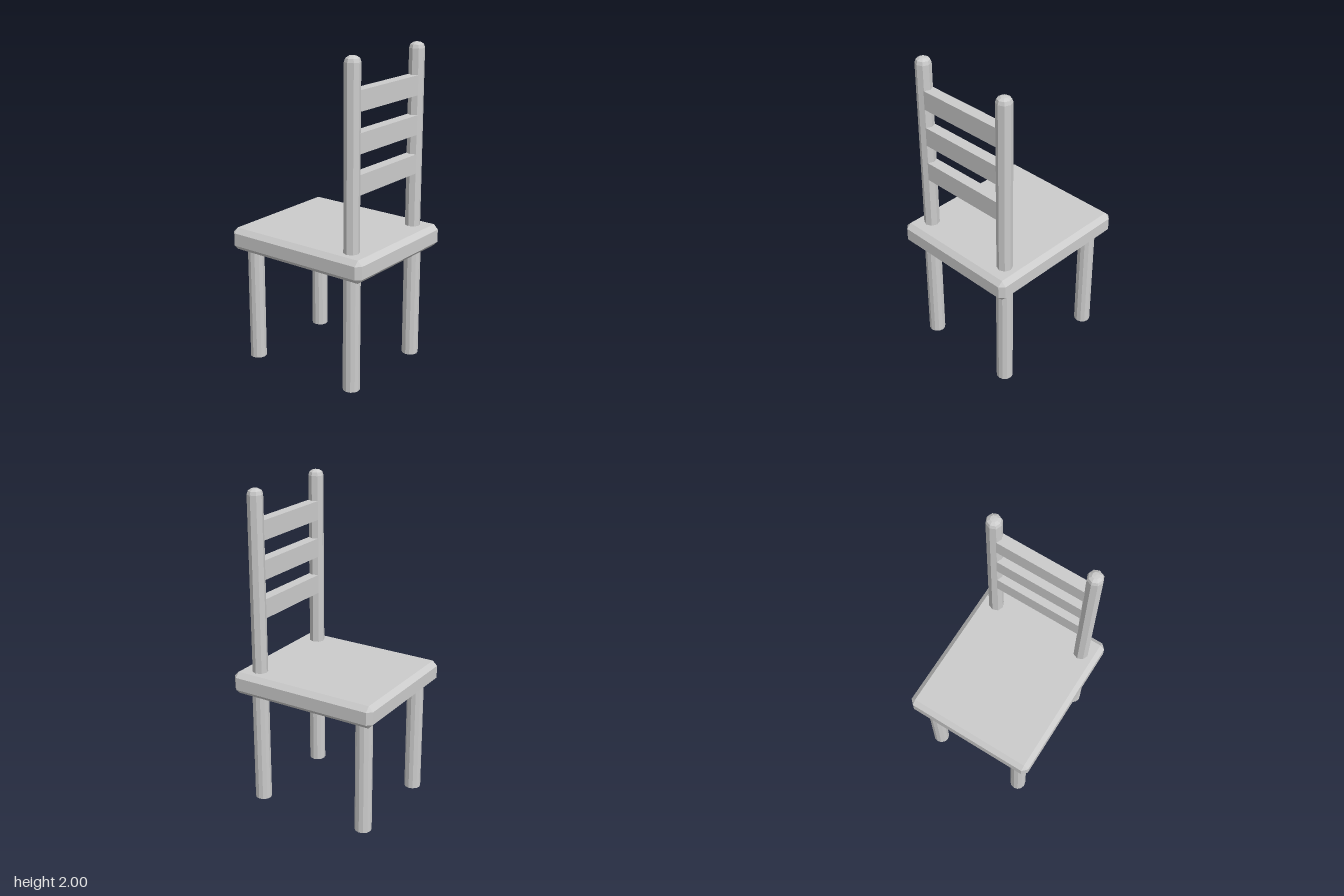
import * as THREE from 'three';
import { ConvexGeometry } from 'three/addons/geometries/ConvexGeometry.js';

const material = new THREE.MeshStandardMaterial({ color: 0xcccccc, flatShading: true });

// Box with every edge cut at 45 degrees
function chamferedBox(w, h, d, c) {
  const points = [];
  for (const x of [-w / 2, w / 2]) for (const y of [-h / 2, h / 2]) for (const z of [-d / 2, d / 2]) {
    const ix = x - Math.sign(x) * c, iy = y - Math.sign(y) * c, iz = z - Math.sign(z) * c;
    points.push(
      new THREE.Vector3(x, iy, iz),
      new THREE.Vector3(ix, y, iz),
      new THREE.Vector3(ix, iy, z)
    );
  }
  return new ConvexGeometry(points);
}

export function createModel() {
  const chair = new THREE.Group();
  chair.name = 'chair';
  const add = (name, geometry, x, y, z) => {
    const mesh = new THREE.Mesh(geometry, material);
    mesh.name = name;
    mesh.position.set(x, y, z);
    chair.add(mesh);
  };

  const sideX = 0.315, backZ = 0.355, legTop = 0.76;

  // Seat
  add('seat', chamferedBox(0.852, 0.14, 0.98, 0.03), 0, 0.8, 0);

  // Legs and octagonal back posts with domed tips
  const legGeometry = new THREE.CylinderGeometry(0.052, 0.052, legTop, 12);
  const postProfile = [[0, 0.8], [0.048, 0.8], [0.048, 1.965], [0.041, 1.986], [0.022, 1.998], [0, 2]]
    .map(([r, y]) => new THREE.Vector2(r, y));
  const postGeometry = new THREE.LatheGeometry(postProfile, 8);
  for (const [side, sign] of [['left', 1], ['right', -1]]) {
    add(side + 'LegUnderBackrest', legGeometry, sign * sideX, legTop / 2, backZ + 0.003);
    add(side + 'LegOpposite', legGeometry, sign * sideX, legTop / 2, -0.385);
    add(side + 'BackPost', postGeometry, sign * sideX, 0, backZ);
  }

  // Backrest slats
  const slatGeometry = new THREE.BoxGeometry(2 * sideX, 0.12, 0.07);
  for (let i = 0; i < 3; i++) add('backSlat' + (i + 1), slatGeometry, 0, 1.27 + i * 0.24, backZ);

  return chair;
}
